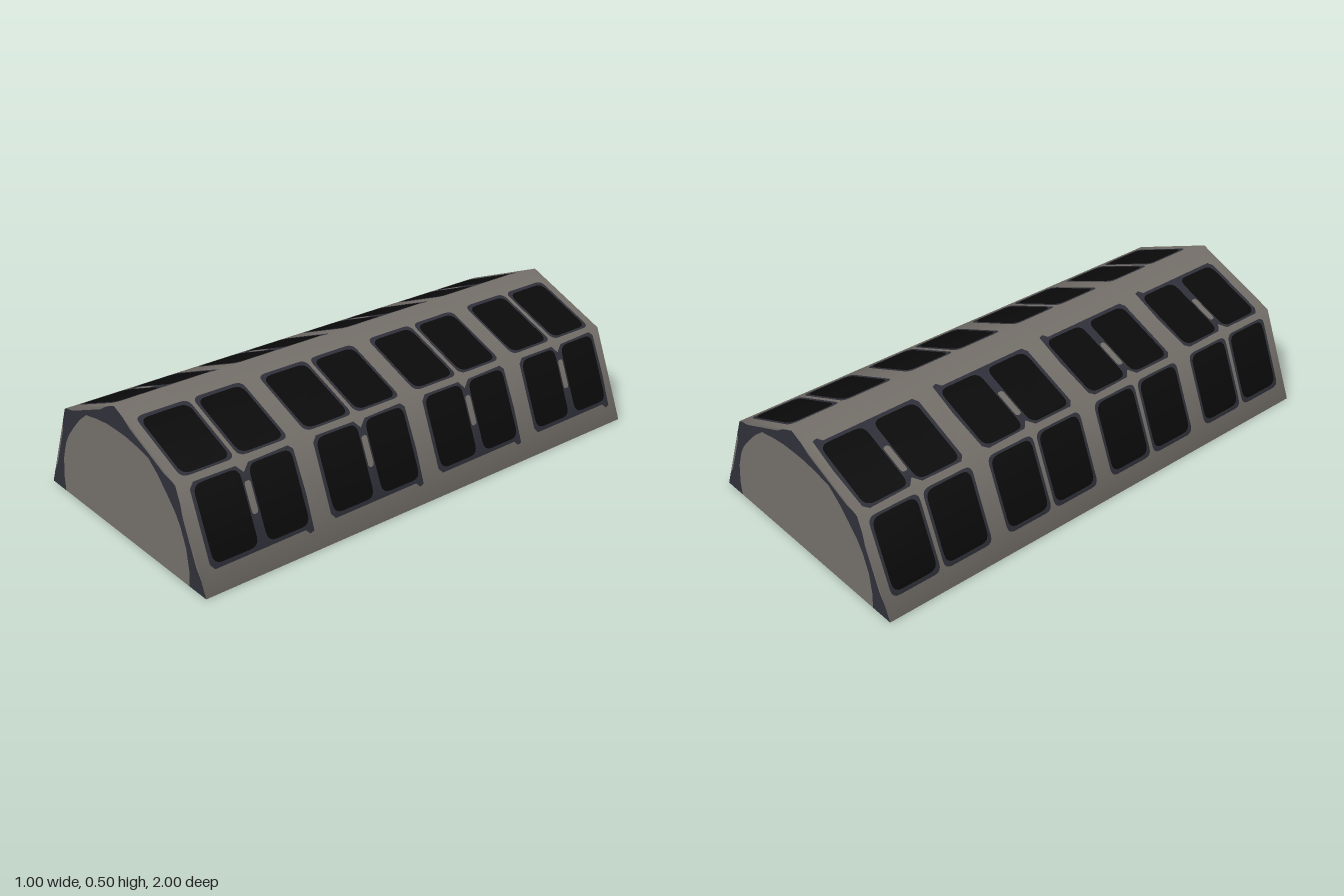
import * as THREE from 'three';

const material = (name, color) =>
  new THREE.MeshStandardMaterial({ name, color, side: THREE.DoubleSide });

const R = 0.5;
const LEN = 2 * R * Math.sin(Math.PI / 8); // width of one roof facet
// Cross-section corners, from the left eave over the ridge to the right eave
const corners = [0, 1, 2, 3, 4].map(i =>
  new THREE.Vector2(R * Math.cos(i * Math.PI / 4), R * Math.sin(i * Math.PI / 4)));

const poly = pts => new THREE.Shape(pts.map(p => new THREE.Vector2(p[0], p[1])));

// Rectangle with softly rounded corners
function rounded(x0, y0, x1, y1, r) {
  const s = new THREE.Shape();
  s.moveTo(x0 + r, y0);
  s.lineTo(x1 - r, y0); s.quadraticCurveTo(x1, y0, x1, y0 + r);
  s.lineTo(x1, y1 - r); s.quadraticCurveTo(x1, y1, x1 - r, y1);
  s.lineTo(x0 + r, y1); s.quadraticCurveTo(x0, y1, x0, y1 - r);
  s.lineTo(x0, y0 + r); s.quadraticCurveTo(x0, y0, x0 + r, y0);
  return s;
}

// Flat shapes (u along -z, v up the facet) laid onto one facet with smooth normals
function onFacet(shapes, i) {
  const g = new THREE.ShapeGeometry(shapes, 4);
  const p = g.attributes.position, n = g.attributes.normal;
  const a = corners[i], b = corners[i + 1];
  for (let k = 0; k < p.count; k++) {
    const c = a.clone().lerp(b, p.getY(k) / LEN);
    p.setXYZ(k, c.x, c.y, -p.getX(k));
    c.normalize();
    n.setXYZ(k, c.x, c.y, 0);
  }
  return g;
}

// Paired window sharing one frame, with a slot of wall between the panes
function sharedWindow(u) {
  const panes = [
    rounded(u + 0.06, 0.095, u + 0.24, 0.365, 0.035),
    rounded(u + 0.277, 0.095, u + 0.453, 0.365, 0.035)];
  const slot = rounded(u + 0.246, 0.2, u + 0.271, 0.315, 0.012);
  const frame = poly([
    [u + 0.06, 0.08], [u + 0.43, 0.082], [u + 0.445, 0.065], [u + 0.463, 0.07],
    [u + 0.468, 0.2], [u + 0.463, 0.36], [u + 0.445, 0.377], [u + 0.28, 0.372],
    [u + 0.255, 0.345], [u + 0.23, 0.374], [u + 0.065, 0.375], [u + 0.047, 0.355],
    [u + 0.045, 0.1]]);
  frame.holes.push(...panes, slot);
  return { frames: [frame], panes, slots: [slot] };
}

// Paired window with a separate thin frame around each pane
function splitWindow(u) {
  const spans = [[u + 0.048, u + 0.235], [u + 0.273, u + 0.455]];
  const panes = spans.map(([a, b]) => rounded(a, 0.03, b, 0.297, 0.035));
  const frames = spans.map(([a, b], k) => {
    const f = rounded(a - 0.011, 0.02, b + 0.011, 0.312, 0.03);
    f.holes.push(panes[k]);
    return f;
  });
  return { frames, panes, slots: [] };
}

export function createModel() {
  const stone = material('warm grey wall', 0x736e68);
  const trim = material('dark slate trim', 0x2f2f39);
  const glass = material('black glass', 0x0a0a0a);
  const model = new THREE.Group();
  model.name = 'vaultedHall';
  const add = (parent, name, geometry, mat) => {
    const m = new THREE.Mesh(geometry, mat);
    m.name = name;
    parent.add(m);
    return m;
  };

  // Four long facets, each with four paired windows, alternating in type
  for (let i = 0; i < 4; i++) {
    const facet = new THREE.Group();
    facet.name = ['leftWall', 'leftRoof', 'rightRoof', 'rightWall'][i];
    model.add(facet);
    const wall = poly([[-1, 0], [1, 0], [1, LEN], [-1, LEN]]);
    const frames = [], panes = [], slots = [];
    for (let k = 0; k < 4; k++) {
      const w = (i % 2 ? splitWindow : sharedWindow)(-1 + k * 0.5);
      frames.push(...w.frames);
      panes.push(...w.panes);
      slots.push(...w.slots);
    }
    wall.holes.push(...frames.map(f => new THREE.Path(f.getPoints(4))));
    add(facet, 'wallPanel', onFacet([wall, ...slots], i), stone);
    add(facet, 'windowFrames', onFacet(frames, i), trim);
    add(facet, 'windowPanes', onFacet(panes, i), glass);
  }

  // End wall: arched field, dark arch band and thin light edge slivers
  const half = [[0.405, 0], [0.408, 0.06], [0.397, 0.14], [0.37, 0.21], [0.345, 0.25],
    [0.3, 0.3], [0.25, 0.35], [0.2, 0.388], [0.13, 0.402], [0.06, 0.411]];
  const arch = [...half, [0, 0.412], ...half.map(([x, y]) => [-x, y]).reverse()];

  const outline = [], slivers = [];
  for (let i = 0; i < 4; i++) {
    const a = corners[i], b = corners[i + 1];
    const mid = a.clone().add(b).normalize();
    const at = (f, inset) => {
      const p = a.clone().lerp(b, f).addScaledVector(mid, -inset);
      return [p.x, p.y];
    };
    const cut = [[0.16, 0.84], [0.04, 0.85], [0.15, 0.96], [0.16, 0.84]][i];
    const edge = [at(cut[0], 0), at(cut[0] + 0.12, 0.009),
      at(cut[1] - 0.12, 0.009), at(cut[1], 0)];
    outline.push([a.x, a.y], ...edge);
    slivers.push(poly(edge));
  }
  outline.push([-R, 0]);
  const band = poly([...outline, ...[...arch].reverse()]);

  for (const [name, z, turn] of [['frontEnd', 1, 0], ['backEnd', -1, Math.PI]]) {
    const end = new THREE.Group();
    end.name = name;
    end.position.z = z;
    end.rotation.y = turn;
    model.add(end);
    add(end, 'endWall', new THREE.ShapeGeometry([poly(arch), ...slivers]), stone);
    add(end, 'archBand', new THREE.ShapeGeometry(band), trim);
  }
  return model;
}
